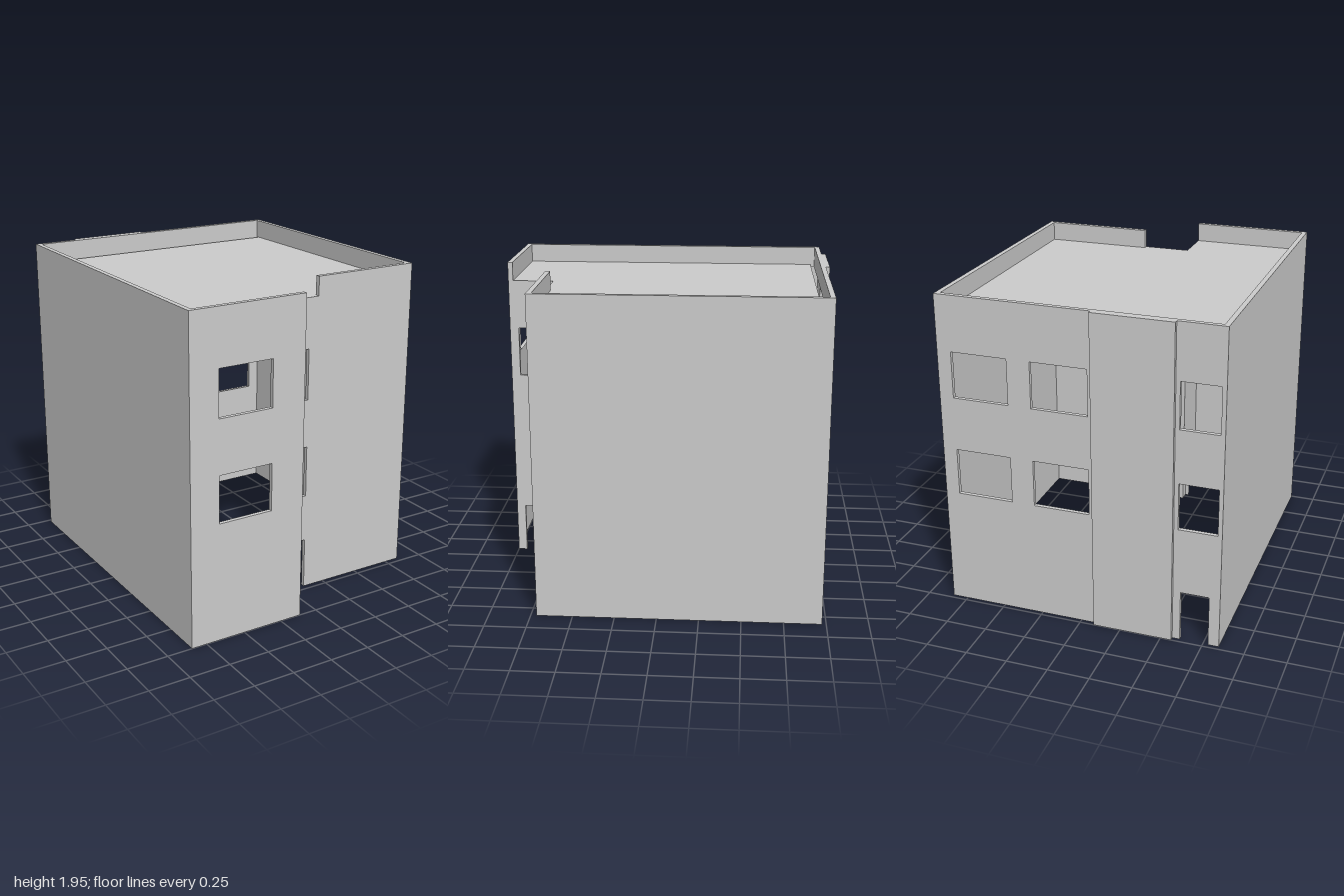
import * as THREE from 'three';

const TOP = 1.945, ROOF = 1.83, EAVE = 1.815, REVEAL = 0.025;
const material = new THREE.MeshStandardMaterial({ color: 0xcccccc, side: THREE.DoubleSide });

function part(name, geometry) {
  const mesh = new THREE.Mesh(geometry, material);
  mesh.name = name;
  return mesh;
}

// Ribbon of flat quads between two equally long rows of [x, y, z] points
function ribbon(a, b) {
  const p = [];
  for (let i = 0; i < a.length - 1; i++) {
    p.push(...a[i], ...a[i + 1], ...b[i + 1], ...a[i], ...b[i + 1], ...b[i]);
  }
  const g = new THREE.BufferGeometry();
  g.setAttribute('position', new THREE.Float32BufferAttribute(p, 3));
  g.computeVertexNormals();
  return g;
}

// Thin wall in its own XY plane; openings are [u0, u1, v0, v1], inward is the sign of local z
function wall(name, u0, u1, top, openings, inward) {
  const group = new THREE.Group();
  group.name = name;
  const outline = [[u0, 0]];
  const holes = [];
  for (const [a, b, c, d] of openings) {
    const loop = [[a, c], [a, d], [b, d], [b, c]];
    if (c === 0) outline.push(...loop);
    else holes.push(loop);
    const edge = c === 0 ? loop : [...loop, loop[0]];
    group.add(part(c === 0 ? 'doorReveal' : 'windowReveal', ribbon(
      edge.map(([x, y]) => [x, y, 0]),
      edge.map(([x, y]) => [x, y, inward * REVEAL]))));
  }
  outline.push([u1, 0], ...top);
  const vec = (pts) => pts.map(([x, y]) => new THREE.Vector2(x, y));
  const shape = new THREE.Shape(vec(outline));
  holes.forEach((h) => shape.holes.push(new THREE.Path(vec(h))));
  group.add(part('wallFace', new THREE.ShapeGeometry(shape)));
  return group;
}

export function createModel() {
  const model = new THREE.Group();
  model.name = 'building';
  const flat = (a, b) => [[b, TOP], [a, TOP]];
  const add = (w, x, z, sideways) => {
    w.position.set(x, 0, z);
    if (sideways) w.rotation.y = -Math.PI / 2;
    model.add(w);
  };

  // Front walls: projecting wing and recessed entrance side
  add(wall('wingFrontWall', -0.845, -0.115, flat(-0.845, -0.115),
    [[-0.665, -0.325, 0.72, 1.005], [-0.665, -0.325, 1.33, 1.61]], -1), 0, 1);
  add(wall('entranceWall', -0.115, 0.845,
    [[0.845, TOP], [0.17, TOP], [0.17, EAVE], [-0.115, EAVE]],
    [[-0.06, 0.11, 0, 0.315], [-0.06, 0.11, 0.605, 0.92], [-0.06, 0.11, 1.215, 1.525]], -1), 0, 0.715);

  // Return wall of the wing, lowered to the roof behind its front edge
  add(wall('wingReturnWall', 0.715, 1,
    [[1, TOP], [0.97, TOP], [0.97, EAVE], [0.715, EAVE]],
    [[0.775, 0.945, 0, 0.315], [0.775, 0.945, 1.215, 1.525]], 1), -0.115, 0, true);

  // Plain side walls
  add(wall('leftWall', -0.975, 0.715, flat(-0.975, 0.715), [], 1), 0.845, 0, true);
  add(wall('rightWall', -0.975, 1, flat(-0.975, 1), [], -1), -0.845, 0, true);

  // Back walls on both sides of the projecting panel
  const wide = [], narrow = [[-0.78, -0.61, 0, 0.315]];
  for (const [v0, v1] of [[0.72, 1.005], [1.33, 1.61]]) {
    wide.push([0.42, 0.76, v0, v1], [-0.06, 0.28, v0, v1]);
    narrow.push([-0.82, -0.59, v0, v1]);
  }
  add(wall('backWallLeft', -0.085, 0.845, flat(-0.085, 0.845), wide, 1), 0, -0.975);
  add(wall('backWallRight', -0.845, -0.565, flat(-0.845, -0.565), narrow, 1), 0, -0.975);

  // Upright ribbon from plan points, and level ribbon between two plan paths
  const at = (pts, y) => pts.map(([x, z]) => [x, y, z]);
  const panel = [[-0.565, -0.975], [-0.565, -1], [-0.085, -1], [-0.085, -0.975]];
  model.add(part('backPanel', ribbon(at(panel, 0), at(panel, TOP))));
  model.add(part('backPanelTop', ribbon(at([panel[0], panel[3]], TOP), at([panel[1], panel[2]], TOP))));

  // Parapet coping and its inner face
  const outer = [[0.17, 0.715], [0.845, 0.715], [0.845, -0.975], [-0.845, -0.975], [-0.845, 1], [-0.115, 1]];
  const inner = [[0.17, 0.685], [0.815, 0.685], [0.815, -0.945], [-0.815, -0.945], [-0.815, 0.97], [-0.115, 0.97]];
  model.add(part('parapetTop', ribbon(at(outer, TOP), at(inner, TOP))));
  const lining = [outer[0], ...inner];
  model.add(part('parapetInnerFace', ribbon(at(lining, EAVE), at(lining, TOP))));

  // Roof slab, stopping short of the back parapet
  const plan = [[-0.815, -0.92], [0.815, -0.92], [0.815, 0.685], [0.17, 0.685],
    [0.17, 0.715], [-0.115, 0.715], [-0.115, 0.97], [-0.815, 0.97]];
  const slab = new THREE.ExtrudeGeometry(
    new THREE.Shape(plan.map(([x, z]) => new THREE.Vector2(x, z))),
    { depth: ROOF - EAVE, bevelEnabled: false });
  slab.rotateX(Math.PI / 2).translate(0, ROOF, 0);
  model.add(part('roof', slab));

  return model;
}
